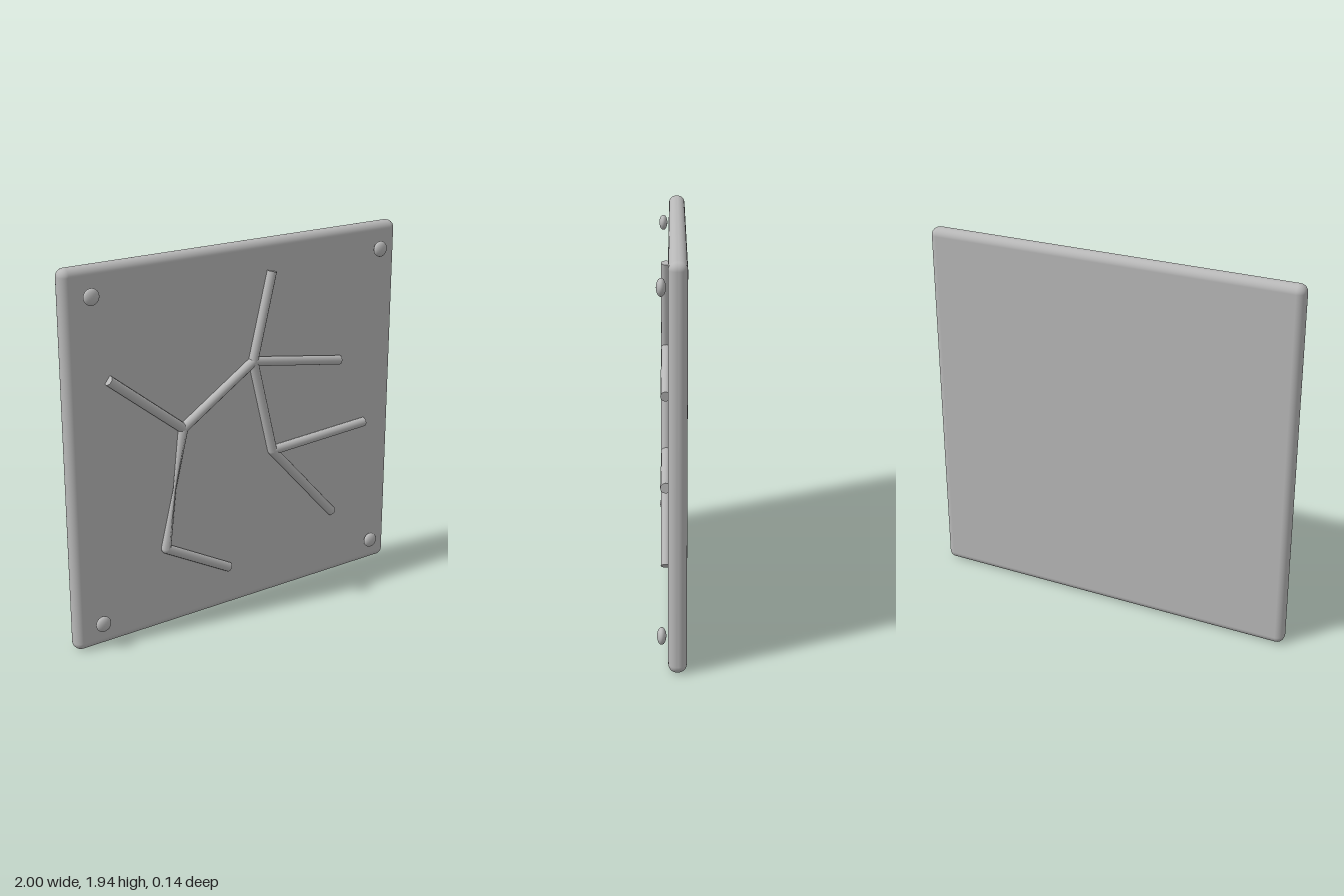
import * as THREE from 'three';
import { RoundedBoxGeometry } from 'three/addons/geometries/RoundedBoxGeometry.js';

export function createModel() {
  const group = new THREE.Group();
  const grey = new THREE.MeshStandardMaterial({ color: 0xb8b8b8 });
  grey.name = 'plain grey';
  const add = (name, geometry, x, y, z) => {
    const mesh = new THREE.Mesh(geometry, grey);
    mesh.name = name;
    mesh.position.set(x, y, z);
    group.add(mesh);
    return mesh;
  };

  // Upright slab with rounded rim
  add('panel', new RoundedBoxGeometry(2, 1.94, 0.087, 6, 0.04), 0, 0.97, -0.0265);

  // Flattened corner studs, standing just clear of the slab
  for (const x of [-0.866, 0.866]) {
    for (const y of [0.136, 1.806]) {
      add('stud', new THREE.SphereGeometry(0.041, 24, 16), x, y, 0.048).scale.z = 0.54;
    }
  }

  // Crack ridges, half sunk in the slab
  const radius = 0.025, ridgeZ = 0.029;
  const upAxis = new THREE.Vector3(0, 1, 0);
  const ridge = (name, from, to, waist = 1) => {
    const a = new THREE.Vector3(...from, ridgeZ);
    const d = new THREE.Vector3(...to, ridgeZ).sub(a);
    const length = d.length();
    const geometry = new THREE.CylinderGeometry(radius, radius, length, 12, waist < 1 ? 12 : 1);
    // Pinch toward the middle
    if (waist < 1) {
      const p = geometry.attributes.position;
      for (let i = 0; i < p.count; i++) {
        const s = waist + (1 - waist) * Math.abs(p.getY(i)) / (length / 2);
        p.setXYZ(i, p.getX(i) * s, p.getY(i), p.getZ(i) * s);
      }
      geometry.computeVertexNormals();
    }
    const mid = a.addScaledVector(d, 0.5);
    add(name, geometry, mid.x, mid.y, mid.z).quaternion.setFromUnitVectors(upAxis, d.normalize());
  };

  const leftFork = [-0.366, 1.06], elbow = [-0.48, 0.436];
  const topFork = [0.06, 1.33], lowFork = [0.185, 0.822];
  ridge('crackUpperLeft', [-0.78, 1.385], leftFork);
  ridge('crackMiddle', leftFork, topFork);
  ridge('crackPinched', leftFork, elbow, 0.3);
  ridge('crackFoot', elbow, [-0.094, 0.227]);
  ridge('crackTop', topFork, [0.174, 1.78]);
  ridge('crackRight', topFork, [0.623, 1.238]);
  ridge('crackTrunk', topFork, lowFork);
  ridge('crackLowerRight', lowFork, [0.805, 0.853]);
  ridge('crackDiagonal', lowFork, [0.594, 0.374]);

  // Rounded joints where ridges meet
  for (const [x, y] of [leftFork, elbow, topFork, lowFork]) {
    add('crackJoint', new THREE.SphereGeometry(radius, 12, 8), x, y, ridgeZ);
  }
  return group;
}
